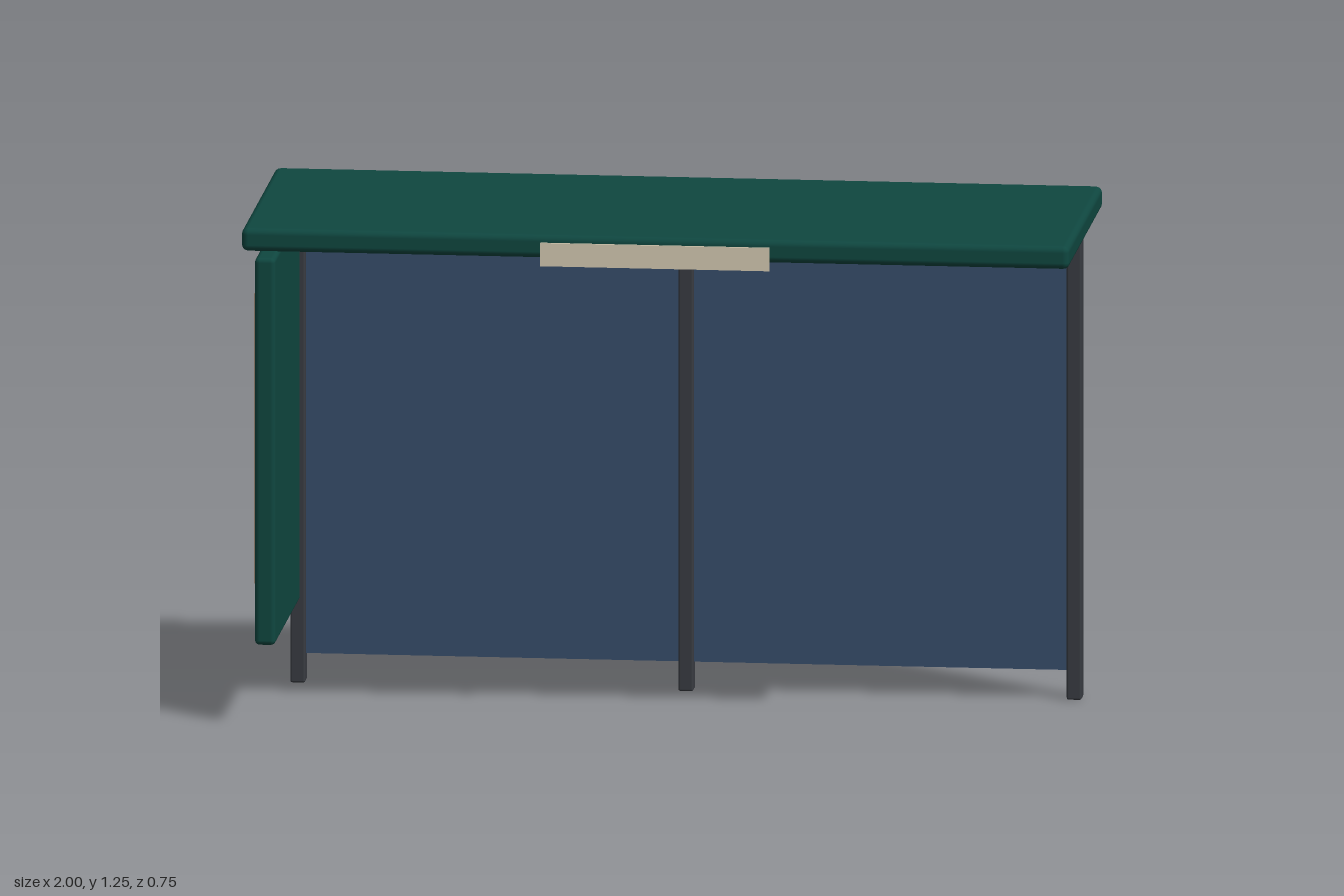
import * as THREE from 'three';
import { RoundedBoxGeometry } from 'three/addons/geometries/RoundedBoxGeometry.js';

function paint(name, color) {
  const m = new THREE.MeshStandardMaterial({ color });
  m.name = name;
  return m;
}

export function createModel() {
  const group = new THREE.Group();
  group.name = 'shelter';

  const green = paint('dark green', 0x0f4740);
  const steel = paint('dark grey steel', 0x393c42);
  const glass = paint('blue glass', 0x384e6c);
  const cream = paint('cream', 0xd6ccb4);
  const brown = paint('poster brown', 0x7a5430);

  // Box given by its min and max corners, with softened edges when r > 0
  function block(name, material, [x0, y0, z0], [x1, y1, z1], r = 0) {
    const w = x1 - x0, h = y1 - y0, d = z1 - z0;
    const geometry = r > 0
      ? new RoundedBoxGeometry(w, h, d, 2, r)
      : new THREE.BoxGeometry(w, h, d);
    const mesh = new THREE.Mesh(geometry, material);
    mesh.name = name;
    mesh.position.set((x0 + x1) / 2, (y0 + y1) / 2, (z0 + z1) / 2);
    group.add(mesh);
  }

  // Roof slab
  block('roof', green, [-1, 1.193, -0.37], [1, 1.25, 0.37], 0.016);

  // Three rear posts
  for (const x of [-0.938, 0, 0.938]) {
    block('post', steel, [x - 0.018, 0, -0.348], [x + 0.018, 1.2, -0.3], 0.005);
  }

  // Two back panes between the posts
  for (const s of [-1, 1]) {
    const a = s * 0.014, b = s * 0.924;
    block('backPane', glass, [Math.min(a, b), 0.07, -0.33], [Math.max(a, b), 1.19, -0.318]);
  }

  // Side panel with a poster on its outer face
  block('sidePanel', green, [-0.983, 0.2, -0.34], [-0.933, 1.15, 0.235], 0.012);
  block('poster', brown, [-0.99, 0.34, -0.27], [-0.982, 1.05, 0.175]);

  // Name plate on the front edge of the roof
  block('signPlate', cream, [-0.277, 1.175, 0.369], [0.277, 1.232, 0.375]);

  return group;
}
